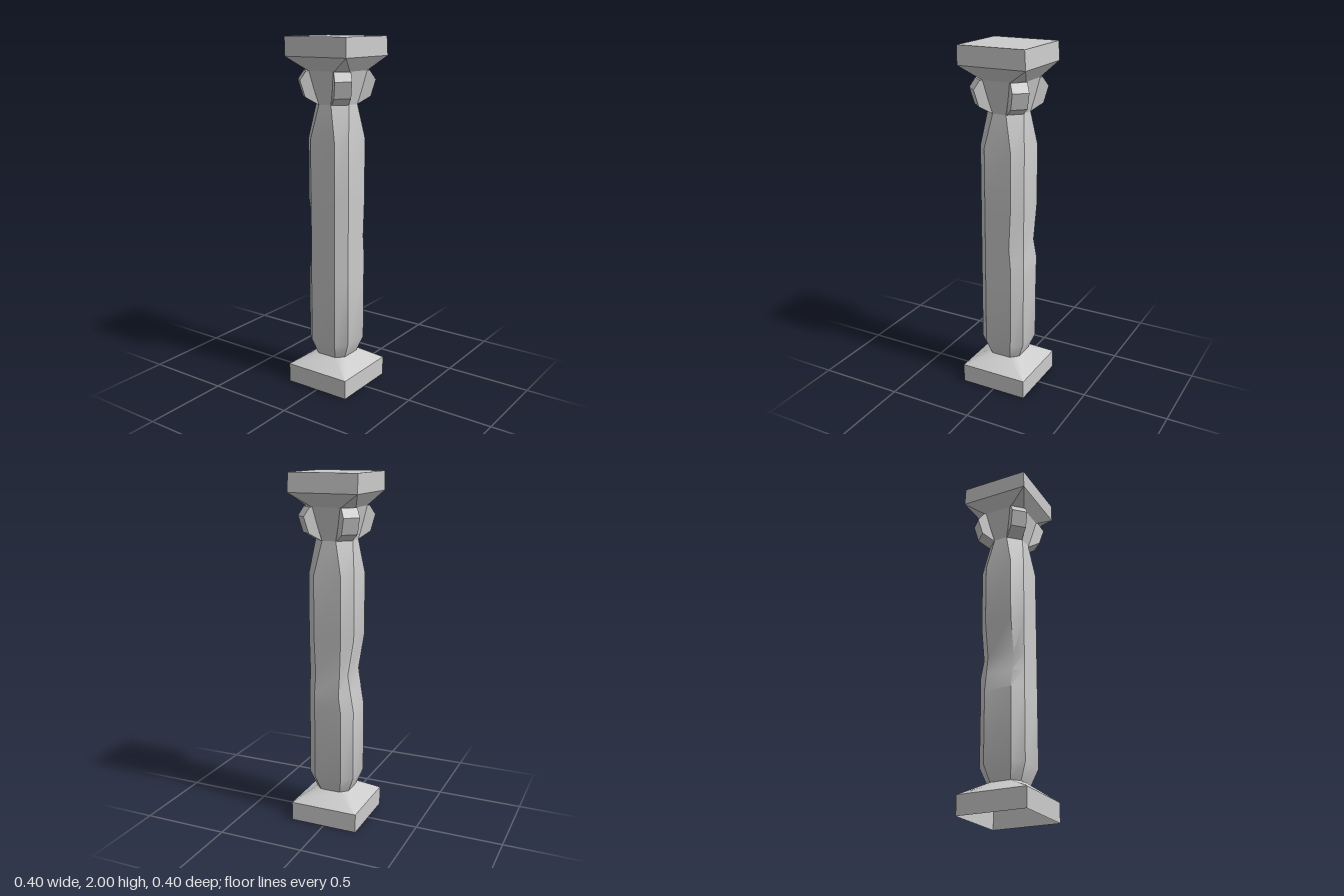
import * as THREE from 'three';
import { toCreasedNormals } from 'three/addons/utils/BufferGeometryUtils.js';

const material = new THREE.MeshStandardMaterial({ color: 0xcccccc, side: THREE.DoubleSide });

// Chamfered square section: h is the half width, f half the width of the flat side.
// Corner order, seen from above: two on +x, two on -z, two on -x, two on +z.
function ring(y, h, f = h) {
  return [[h, f], [h, -f], [f, -h], [-f, -h], [-h, -f], [-h, f], [-f, h], [f, h]]
    .map(([x, z]) => new THREE.Vector3(x, y, z));
}

// Skin between successive sections, with an optional flat top.
function loft(name, rings, capTop = false) {
  const positions = [];
  const tri = (a, b, c) => {
    const area = b.clone().sub(a).cross(c.clone().sub(a)).length();
    if (area > 1e-8) for (const p of [a, b, c]) positions.push(p.x, p.y, p.z);
  };
  for (let r = 0; r < rings.length - 1; r++) {
    for (let i = 0; i < 8; i++) {
      const j = (i + 1) % 8;
      tri(rings[r][i], rings[r][j], rings[r + 1][j]);
      tri(rings[r][i], rings[r + 1][j], rings[r + 1][i]);
    }
  }
  if (capTop) {
    const top = rings[rings.length - 1];
    for (let i = 1; i < 7; i++) tri(top[0], top[i], top[i + 1]);
  }
  const geometry = new THREE.BufferGeometry();
  geometry.setAttribute('position', new THREE.Float32BufferAttribute(positions, 3));
  const mesh = new THREE.Mesh(toCreasedNormals(geometry, 0.6), material);
  mesh.name = name;
  return mesh;
}

// Move chosen corners of a section in x and z.
function dent(section, moves) {
  for (const [i, dx, dz] of moves) {
    section[i].x += dx;
    section[i].z += dz;
  }
  return section;
}

export function createModel() {
  const column = new THREE.Group();
  column.name = 'column';

  // Plinth, open underneath
  column.add(loft('plinthSides', [ring(0, 0.2), ring(0.11, 0.2)]));
  column.add(loft('plinthSlope', [ring(0.11, 0.2), ring(0.18, 0.1, 0.06)]));

  // Shaft with worn dents on the back corners and the -x side
  column.add(loft('shaft', [
    ring(0.18, 0.1, 0.06),
    ring(0.27, 0.135, 0.08),
    ring(0.68, 0.135, 0.08),
    dent(ring(0.78, 0.135, 0.08), [[3, 0.01, -0.008], [4, 0.017, 0], [5, 0.017, 0]]),
    dent(ring(0.89, 0.135, 0.08), [[1, 0, 0.01], [2, -0.006, 0.005], [3, 0.012, 0.012], [4, 0.035, 0], [5, 0.035, 0]]),
    ring(1.1, 0.135, 0.08),
    ring(1.45, 0.135, 0.08),
    ring(1.64, 0.11, 0.04),
  ]));

  // Flaring capital neck
  column.add(loft('capitalNeck', [ring(1.64, 0.11, 0.04), ring(1.82, 0.145, 0.085)]));

  // Four corner knobs on the diagonals
  const profile = new THREE.Shape([
    [0.08, 1.64], [0.11, 1.64], [0.18, 1.68], [0.208, 1.77], [0.174, 1.82], [0.08, 1.82],
  ].map(([d, y]) => new THREE.Vector2(d, y)));
  const width = 0.092;
  const knobGeometry = new THREE.ExtrudeGeometry(profile, { depth: width, bevelEnabled: false });
  knobGeometry.translate(0, 0, -width / 2);
  for (let k = 0; k < 4; k++) {
    const knob = new THREE.Mesh(knobGeometry, material);
    knob.name = 'cornerKnob' + (k + 1);
    knob.rotation.y = Math.PI / 4 + k * Math.PI / 2;
    column.add(knob);
  }

  // Top slab, its upper back edge slightly worn in
  column.add(loft('slabSlope', [ring(1.82, 0.145, 0.085), ring(1.895, 0.2)]));
  const slabTop = dent(ring(2, 0.2), [[1, -0.002, 0.007], [2, -0.002, 0.007], [3, 0, 0.005], [4, 0, 0.005], [0, -0.002, 0], [7, -0.002, 0]]);
  column.add(loft('slab', [ring(1.895, 0.2), slabTop], true));

  return column;
}
